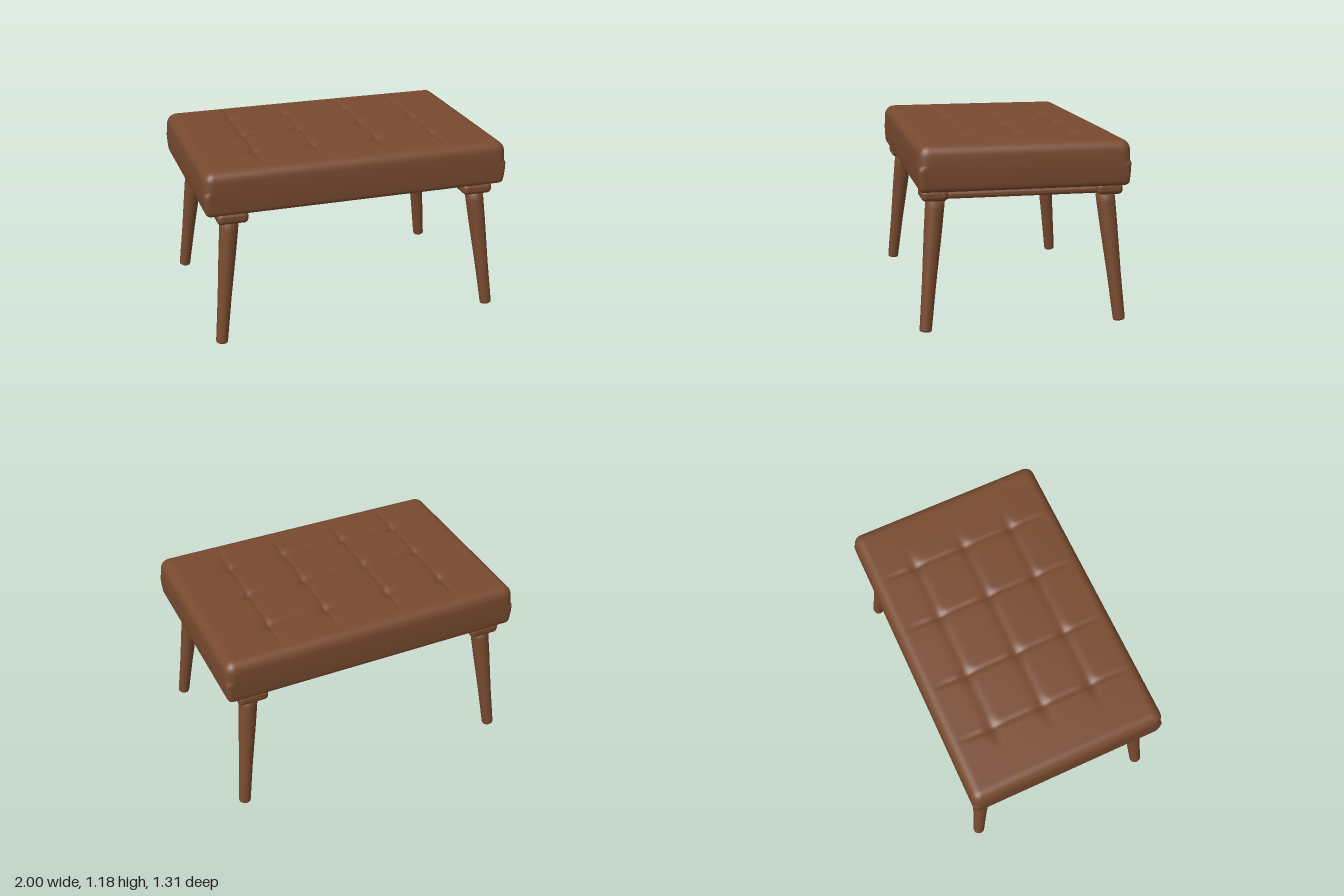
import * as THREE from 'three';
import { mergeVertices } from 'three/addons/utils/BufferGeometryUtils.js';
import { RoundedBoxGeometry } from 'three/addons/geometries/RoundedBoxGeometry.js';

const SEAMS = [-0.61, -0.22, 0.22, 0.61];
const ROWS = [-0.36, -0.01, 0.33];
const bell = (d, w) => Math.exp(-(d * d) / (w * w));

// Height change of the padded top: soft crown, stitched seams, button dimples
function padding(x, z) {
  let h = 0.014 * Math.max(0, 1 - x * x) * Math.max(0, 1 - (z / 0.65) ** 2);
  const fade = THREE.MathUtils.smoothstep(0.66 - Math.abs(z), 0.04, 0.2);
  for (const sx of SEAMS) {
    h -= 0.008 * bell(x - sx, 0.014) * fade;
    for (const rz of ROWS) h -= 0.012 * bell(Math.hypot(x - sx, z - rz), 0.045);
  }
  const inside = THREE.MathUtils.smoothstep(0.78 - Math.abs(x), 0, 0.15);
  for (const rz of ROWS) h -= 0.006 * bell(z - rz, 0.03) * inside;
  return h;
}

// Cushion: a dense box rounded at its edges, with a tufted top
function cushionGeometry() {
  const hx = 1, hy = 0.143, hz = 0.657;
  const box = new THREE.BoxGeometry(hx * 2, hy * 2, hz * 2, 160, 20, 84);
  box.deleteAttribute('uv');
  box.deleteAttribute('normal');
  const geo = mergeVertices(box);
  const pos = geo.attributes.position;
  const p = new THREE.Vector3(), core = new THREE.Vector3();
  for (let i = 0; i < pos.count; i++) {
    p.fromBufferAttribute(pos, i);
    const r = p.y > 0 ? 0.06 : 0.03;
    const ry = p.y > 0 ? 0.06 : 0.025;
    core.set(
      THREE.MathUtils.clamp(p.x, r - hx, hx - r),
      THREE.MathUtils.clamp(p.y, ry - hy, hy - ry),
      THREE.MathUtils.clamp(p.z, r - hz, hz - r));
    p.sub(core).normalize();
    p.set(core.x + p.x * r, core.y + p.y * ry, core.z + p.z * r);
    // sides lean in slightly towards the top and the bottom
    const lean = 1 - 0.012 * (p.y / hy) ** 2;
    const lift = THREE.MathUtils.smoothstep(p.y, 0.07, 0.14) * padding(p.x, p.z);
    pos.setXYZ(i, p.x * lean, p.y + lift + 1.022, p.z * lean);
  }
  geo.computeVertexNormals();
  return geo;
}

export function createModel() {
  const group = new THREE.Group();
  const brown = new THREE.MeshStandardMaterial({ color: 0x784a2f });
  brown.name = 'brown leather and wood';

  const add = (name, geometry, x = 0, y = 0, z = 0) => {
    const mesh = new THREE.Mesh(geometry, brown);
    mesh.name = name;
    mesh.position.set(x, y, z);
    group.add(mesh);
    return mesh;
  };

  add('cushion', cushionGeometry());

  // Tapered leg with softened foot, turned about its own axis
  const legLength = 0.83;
  const legGeo = new THREE.LatheGeometry([
    [0, 0], [0.03, 0], [0.036, 0.004], [0.038, 0.012], [0.044, 0.3],
    [0.055, 0.6], [0.059, 0.76], [0.06, legLength], [0, legLength],
  ].map(([r, y]) => new THREE.Vector2(r, y)), 28);
  const blockGeo = new RoundedBoxGeometry(0.2, 0.075, 0.165, 4, 0.03);
  const up = new THREE.Vector3(0, 1, 0);

  for (const sx of [-1, 1]) {
    for (const sz of [-1, 1]) {
      const leg = add('leg', legGeo, sx * 0.922, 0.003, sz * 0.618);
      const axis = new THREE.Vector3(sx * -0.095, 0.82, sz * -0.083).normalize();
      leg.quaternion.setFromUnitVectors(up, axis);
      add('legBlock', blockGeo, sx * 0.82, 0.848, sz * 0.548);
    }
    // Side rail between the blocks
    add('rail', new RoundedBoxGeometry(0.085, 0.046, 1.0, 4, 0.02), sx * 0.82, 0.836, 0);
    // Spacers between the rail and the cushion
    for (const z of [-0.29, 0.01, 0.3])
      add('railSpacer', new RoundedBoxGeometry(0.06, 0.04, 0.26, 3, 0.012), sx * 0.82, 0.868, z);
  }
  return group;
}
